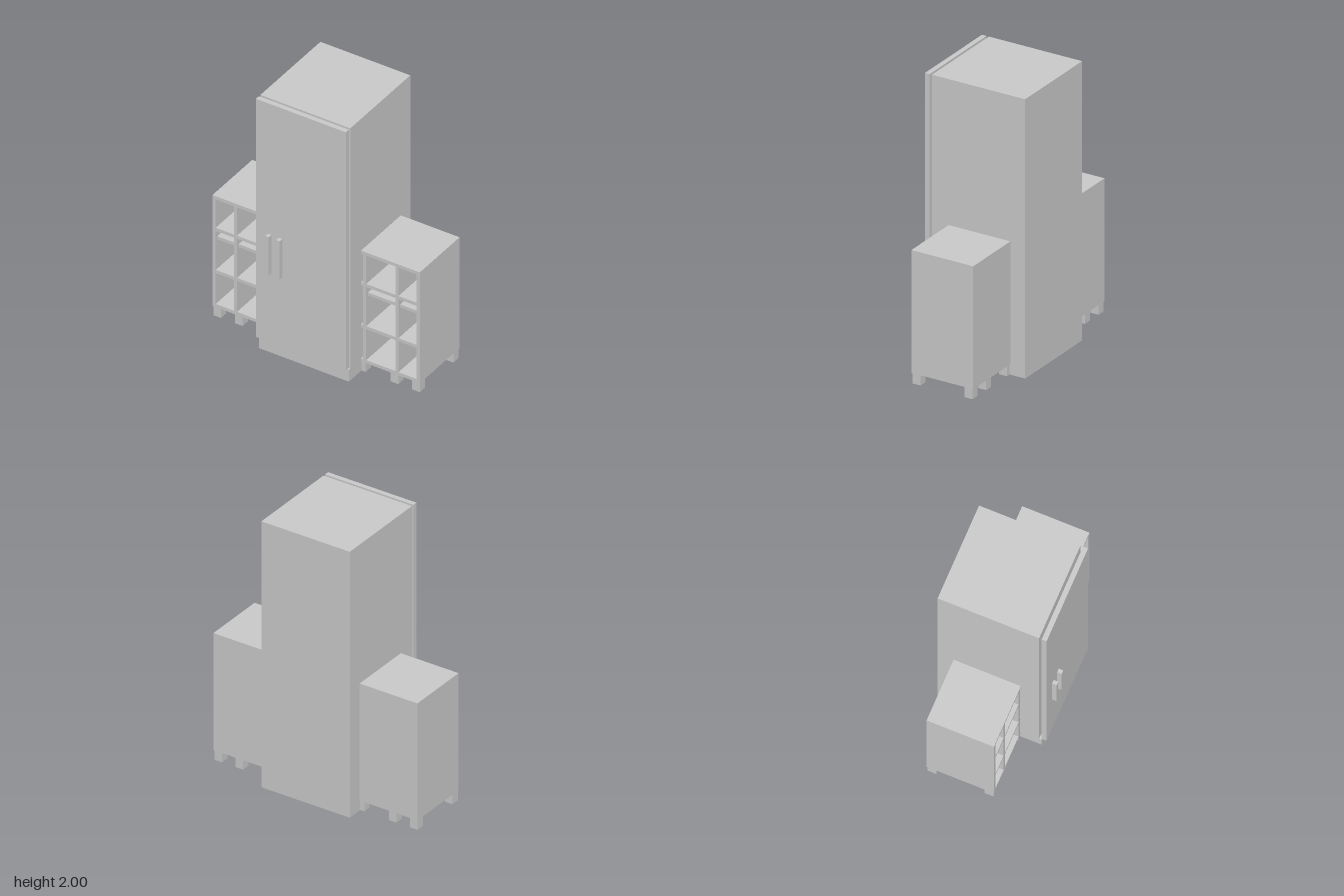
import * as THREE from 'three';

const material = new THREE.MeshStandardMaterial({ color: 0xcccccc, flatShading: true });

// Box given by its low and high limits on each axis
function box(name, [x0, x1], [y0, y1], [z0, z1]) {
  const mesh = new THREE.Mesh(new THREE.BoxGeometry(x1 - x0, y1 - y0, z1 - z0), material);
  mesh.position.set((x0 + x1) / 2, (y0 + y1) / 2, (z0 + z1) / 2);
  mesh.name = name;
  return mesh;
}

function rectangle(PathType, x0, x1, y0, y1) {
  return new PathType([[x0, y0], [x1, y0], [x1, y1], [x0, y1]].map(p => new THREE.Vector2(...p)));
}

function createFridge() {
  const fridge = new THREE.Group();
  fridge.name = 'fridge';
  const width = [-0.348, 0.348];
  fridge.add(
    box('fridgeBody', width, [0, 2], [-0.4, 0.315]),
    box('kickPlate', width, [0, 0.095], [0.315, 0.333]),
    box('fridgeDoor', width, [0.11, 2], [0.333, 0.368]),
    box('outerHandle', [-0.255, -0.229], [0.66, 0.965], [0.368, 0.4]),
    box('innerHandle', [-0.171, -0.144], [0.66, 0.965], [0.368, 0.4])
  );
  return fridge;
}

// Open shelf cabinet; side is -1 or 1. Its inner end runs into the fridge.
function createCabinet(side) {
  const cabinet = new THREE.Group();
  cabinet.name = side > 0 ? 'leftCabinet' : 'rightCabinet';
  const span = (a, b) => side > 0 ? [a, b] : [-b, -a];
  const back = -0.287, front = 0.187, panel = 0.025;
  const columns = [span(0.335, 0.363), span(0.388, 0.613), span(0.638, 0.778)];
  const rows = [[0.1, 0.345], [0.37, 0.68], [0.705, 0.93]];

  // Frame with one opening per cell
  const outline = rectangle(THREE.Shape, ...span(0.32, 0.803), 0.075, 0.955);
  for (const c of columns)
    for (const r of rows) outline.holes.push(rectangle(THREE.Path, ...c, ...r));
  const frame = new THREE.Mesh(
    new THREE.ExtrudeGeometry(outline, { depth: front - back - panel, bevelEnabled: false }), material);
  frame.position.z = back + panel;
  frame.name = 'cabinetFrame';
  cabinet.add(frame, box('cabinetBack', span(0.32, 0.803), [0.075, 0.955], [back, back + panel]));

  // Extra shelf across the middle row
  for (const c of columns)
    cabinet.add(box('shelf', c, [0.602, 0.626], [back + panel, front - 0.02]));

  // Square feet in two rows
  for (const x of [0.32, 0.573, 0.74])
    for (const z of [-0.28, 0.12])
      cabinet.add(box('foot', span(x, x + 0.06), [0, 0.075], [z, z + 0.062]));
  return cabinet;
}

export function createModel() {
  const model = new THREE.Group();
  model.name = 'fridgeWithCabinets';
  model.add(createFridge(), createCabinet(-1), createCabinet(1));
  return model;
}
